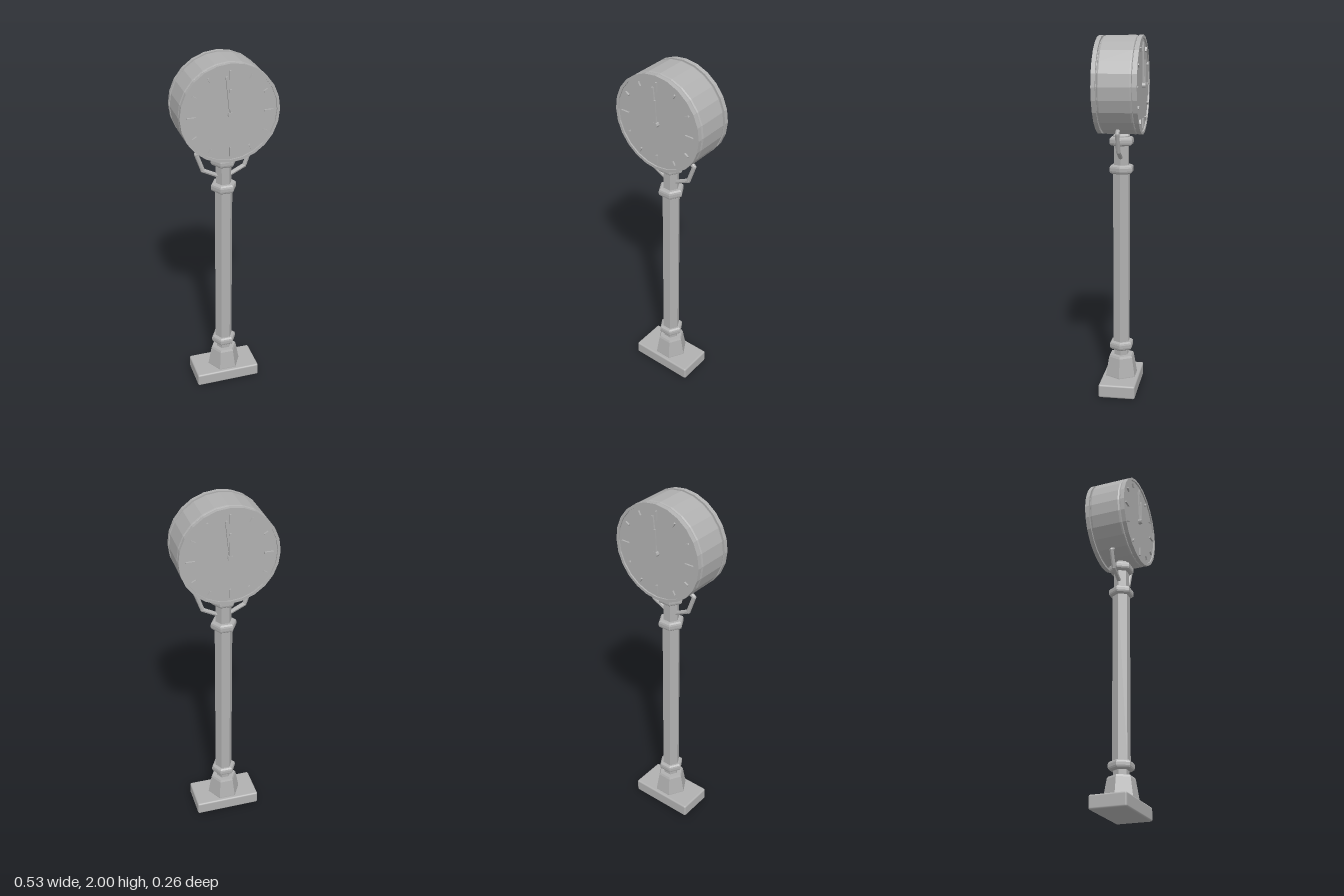
import * as THREE from 'three';
import { RoundedBoxGeometry } from 'three/addons/geometries/RoundedBoxGeometry.js';

const grey = new THREE.MeshStandardMaterial({ color: 0xb0b0b0 });
grey.name = 'grey metal';

// Faceted mesh: every face gets its own normal
function part(name, geometry, parent) {
  const flat = geometry.index ? geometry.toNonIndexed() : geometry;
  flat.computeVertexNormals();
  const mesh = new THREE.Mesh(flat, grey);
  mesh.name = name;
  parent.add(mesh);
  return mesh;
}

function lathe(points, sides, start = 0) {
  return new THREE.LatheGeometry(points.map(([r, y]) => new THREE.Vector2(r, y)), sides, start);
}

// Six-sided turned part with corners on the x axis
const hex = (points) => lathe(points, 6, Math.PI / 6);

function collar(name, y, parent) {
  part(name, hex([
    [0.04, -0.024], [0.06, -0.024], [0.069, -0.017], [0.072, -0.008],
    [0.072, 0.008], [0.069, 0.017], [0.06, 0.024], [0.04, 0.024],
  ]), parent).position.y = y;
}

// Straight rod between two points
function rod(name, a, b, radius, parent) {
  const dir = b.clone().sub(a);
  const mesh = part(name, new THREE.CylinderGeometry(radius, radius, dir.length(), 8), parent);
  mesh.position.copy(a).add(b).multiplyScalar(0.5);
  mesh.quaternion.setFromUnitVectors(new THREE.Vector3(0, 1, 0), dir.normalize());
}

// Flat bar pointing outwards from the dial centre, turned clockwise
function dialBar(name, from, to, width, z, depth, angle, parent) {
  const bar = new THREE.BoxGeometry(width, to - from, depth);
  bar.translate(0, (from + to) / 2, z);
  bar.rotateZ(-angle);
  part(name, bar, parent);
}

function createDial() {
  const dial = new THREE.Group();
  // Bezel with recessed face
  part('dialPlate', lathe([
    [0, 0.097], [0.265, 0.097], [0.265, 0.12], [0.25, 0.12], [0.25, 0.112], [0, 0.112],
  ], 24), dial).rotation.x = Math.PI / 2;
  // Hour marks, longer at the quarters
  for (let i = 0; i < 12; i++) {
    const quarter = i % 3 === 0;
    dialBar('hourMark', quarter ? 0.18 : 0.204, 0.229, quarter ? 0.009 : 0.008,
      0.116, 0.012, i * Math.PI / 6, dial);
  }
  // Hands and hub
  dialBar('minuteHand', 0, 0.2, 0.011, 0.12, 0.009, -0.105, dial);
  dialBar('hourHand', 0, 0.135, 0.011, 0.127, 0.008, -0.01, dial);
  const hub = new THREE.CylinderGeometry(0.015, 0.015, 0.022, 8);
  hub.rotateX(Math.PI / 2);
  part('handHub', hub, dial).position.z = 0.121;
  return dial;
}

export function createModel() {
  const model = new THREE.Group();
  model.name = 'streetClock';

  // Base block and tapered foot
  const base = new THREE.Mesh(new RoundedBoxGeometry(0.38, 0.076, 0.206, 2, 0.01), grey);
  base.name = 'base';
  base.position.y = 0.038;
  model.add(base);
  part('foot', hex([
    [0.096, 0.07], [0.096, 0.08], [0.077, 0.188], [0.071, 0.2], [0, 0.2],
  ]), model);

  // Post with collars
  part('footNeck', hex([[0.043, 0.19], [0.043, 0.25]]), model);
  part('post', hex([[0.05, 0.25], [0.05, 1.28]]), model);
  part('upperPost', hex([[0.044, 1.27], [0.044, 1.44]]), model);
  part('postCap', hex([[0.05, 1.43], [0.05, 1.462], [0.042, 1.474], [0, 1.474]]), model);
  collar('lowerCollar', 0.258, model);
  collar('middleCollar', 1.278, model);
  collar('topCollar', 1.433, model);

  // Bent side brackets
  for (const side of [-1, 1]) {
    const bracket = new THREE.Group();
    bracket.name = side > 0 ? 'leftBracket' : 'rightBracket';
    const path = [[0.025, 1.34], [0.116, 1.386], [0.151, 1.484], [0.1, 1.522]]
      .map(([x, y]) => new THREE.Vector3(side * x, y, 0));
    for (let i = 0; i < path.length - 1; i++) {
      rod('bracketRod', path[i], path[i + 1], 0.012, bracket);
      if (i > 0) part('bracketElbow', new THREE.SphereGeometry(0.0125, 8, 6), bracket).position.copy(path[i]);
    }
    model.add(bracket);
  }

  // Clock head: drum with a dial on each side
  const head = new THREE.Group();
  head.name = 'clockHead';
  head.position.y = 1.735;
  part('drum', lathe([
    [0.25, -0.1], [0.25, -0.092], [0.256, -0.092], [0.262, -0.089], [0.265, -0.081],
    [0.265, 0.081], [0.262, 0.089], [0.256, 0.092], [0.25, 0.092], [0.25, 0.1],
  ], 24), head).rotation.x = Math.PI / 2;
  for (const [name, turn] of [['frontDial', 0], ['backDial', Math.PI]]) {
    const dial = createDial();
    dial.name = name;
    dial.rotation.y = turn;
    head.add(dial);
  }
  model.add(head);
  return model;
}
